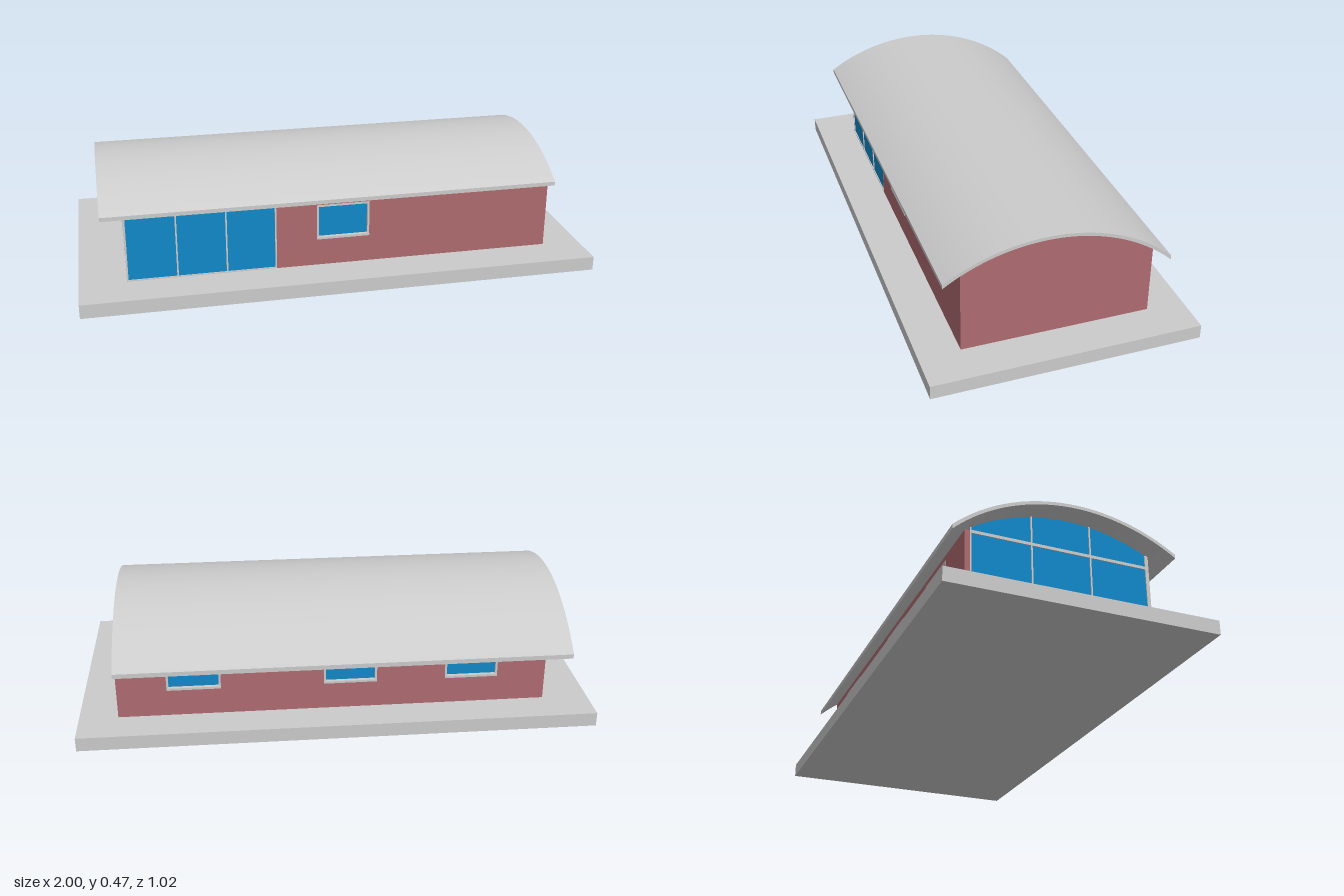
import * as THREE from 'three';
import { toCreasedNormals } from 'three/addons/utils/BufferGeometryUtils.js';

const grey = new THREE.MeshStandardMaterial({ color: 0xcccccc });
const red = new THREE.MeshStandardMaterial({ color: 0xae6b70 });
const blue = new THREE.MeshStandardMaterial({ color: 0x1188c8 });

const FLOOR = 0.055, FRONT = 0.355, BACK = -0.368, LEFT = 0.85, RIGHT = -0.82;
const WALL = 0.02, RAIL = 0.325, BAR = 0.008;
const R_OUT = 0.703, R_IN = 0.69;

// Height of the roof arc at a given z
const arcY = (z, r) => -0.236 + Math.sqrt(r * r - (z - 0.032) ** 2);

// Points along the roof arc between two z values
function arcPoints(z0, z1, r, n = 48) {
  return Array.from({ length: n + 1 }, (_, i) => {
    const z = z0 + (z1 - z0) * i / n;
    return new THREE.Vector2(z, arcY(z, r));
  });
}

function mesh(parent, name, geometry, material) {
  const m = new THREE.Mesh(geometry, material);
  m.name = name;
  parent.add(m);
  return m;
}

// Box given by its limits on each axis
function box(parent, name, material, [x0, x1], [y0, y1], [z0, z1]) {
  const m = mesh(parent, name, new THREE.BoxGeometry(x1 - x0, y1 - y0, z1 - z0), material);
  m.position.set((x0 + x1) / 2, (y0 + y1) / 2, (z0 + z1) / 2);
  return m;
}

// Profile in (z, y) extruded along x
function extrudeX(points, x0, x1) {
  const g = new THREE.ExtrudeGeometry(new THREE.Shape(points), { depth: x1 - x0, bevelEnabled: false });
  g.rotateY(-Math.PI / 2);
  g.translate(x1, 0, 0);
  return toCreasedNormals(g, 0.5);
}

// Gable outline that follows the underside of the roof
function gable(z0, z1) {
  return [new THREE.Vector2(z0, FLOOR), new THREE.Vector2(z1, FLOOR), ...arcPoints(z1, z0, R_IN)];
}

// Long wall with window openings centred on the given x positions
const WIN = { w: 0.208, y0: 0.168, y1: 0.306 };
function longWall(parent, name, x0, x1, top, zMin, windows) {
  const rect = (C, a, b, c, d) => new C([[a, c], [b, c], [b, d], [a, d]].map(p => new THREE.Vector2(...p)));
  const shape = rect(THREE.Shape, x0, x1, FLOOR, top);
  for (const x of windows) shape.holes.push(rect(THREE.Path, x - WIN.w / 2, x + WIN.w / 2, WIN.y0, WIN.y1));
  const g = new THREE.ExtrudeGeometry(shape, { depth: WALL, bevelEnabled: false });
  g.translate(0, 0, zMin);
  mesh(parent, name, g, red);
}

// Window with recessed pane, slim frame and sill; outward along +z
function makeWindow() {
  const g = new THREE.Group();
  g.name = 'window';
  const h = WIN.w / 2, { y0, y1 } = WIN;
  box(g, 'windowPane', blue, [-h, h], [y0, y1], [-0.016, -0.01]);
  for (const s of [-1, 1]) {
    const a = s * h, b = s * (h - BAR);
    box(g, 'windowJamb', grey, [Math.min(a, b), Math.max(a, b)], [y0, y1], [-0.016, 0.001]);
  }
  box(g, 'windowHead', grey, [-h, h], [y1 - BAR, y1], [-0.016, 0.001]);
  box(g, 'windowSill', grey, [-h, h], [y0 - 0.004, y0 + 0.005], [-0.016, 0.005]);
  return g;
}

export function createModel() {
  const house = new THREE.Group();
  house.name = 'house';

  box(house, 'baseSlab', grey, [-1, 1], [0, FLOOR], [-0.512, 0.512]);

  // Curved roof shell
  const roof = [...arcPoints(-0.444, 0.418, R_OUT), ...arcPoints(0.418, -0.444, R_IN)];
  mesh(house, 'roof', extrudeX(roof, -0.905, LEFT + 0.001), grey);

  // Masonry walls
  const SPLIT = -0.245;
  longWall(house, 'frontWall', SPLIT, LEFT, 0.376, FRONT - WALL, [0.016]);
  longWall(house, 'backWall', RIGHT, LEFT, 0.33, BACK, [0.555, -0.05, -0.525]);
  mesh(house, 'endWall', extrudeX(gable(BACK, FRONT), LEFT - WALL, LEFT), red);

  // Windows
  const frontWindow = makeWindow();
  frontWindow.position.set(0.016, 0, FRONT);
  house.add(frontWindow);
  for (const x of [0.555, -0.05, -0.525]) {
    const w = makeWindow();
    w.position.set(x, 0, BACK);
    w.rotation.y = Math.PI;
    house.add(w);
  }

  // Front glazing: three panels with a top rail
  const frontGlazing = new THREE.Group();
  frontGlazing.name = 'frontGlazing';
  house.add(frontGlazing);
  box(frontGlazing, 'frontGlass', blue, [RIGHT + 0.004, SPLIT], [FLOOR, 0.376], [FRONT - 0.014, FRONT - 0.004]);
  for (let i = 0; i <= 3; i++) {
    const x = RIGHT + (SPLIT - RIGHT - 0.006) * i / 3;
    box(frontGlazing, 'frontMullion', grey, [x, x + 0.006], [FLOOR, 0.376], [FRONT - 0.014, FRONT]);
  }
  box(frontGlazing, 'frontRail', grey, [RIGHT, SPLIT], [RAIL - 0.006, RAIL + 0.006], [FRONT - 0.014, FRONT]);
  box(frontGlazing, 'frontBottomRail', grey, [RIGHT, SPLIT], [FLOOR, FLOOR + 0.005], [FRONT - 0.014, FRONT]);

  // End glazing: three panels reaching up into the arc
  const endGlazing = new THREE.Group();
  endGlazing.name = 'endGlazing';
  house.add(endGlazing);
  const zStart = BACK + WALL, zEnd = FRONT - 0.004;
  mesh(endGlazing, 'endGlass', extrudeX(gable(zStart, zEnd), RIGHT + 0.004, RIGHT + 0.014), blue);
  for (let i = 0; i <= 3; i++) {
    const z = zStart + (zEnd - zStart - 0.006) * i / 3;
    const top = Math.min(arcY(z, R_IN), arcY(z + 0.006, R_IN)) + 0.003;
    box(endGlazing, 'endMullion', grey, [RIGHT, RIGHT + 0.014], [FLOOR, top], [z, z + 0.006]);
  }
  box(endGlazing, 'endRail', grey, [RIGHT, RIGHT + 0.014], [RAIL - 0.006, RAIL + 0.006], [zStart, zEnd]);

  return house;
}
